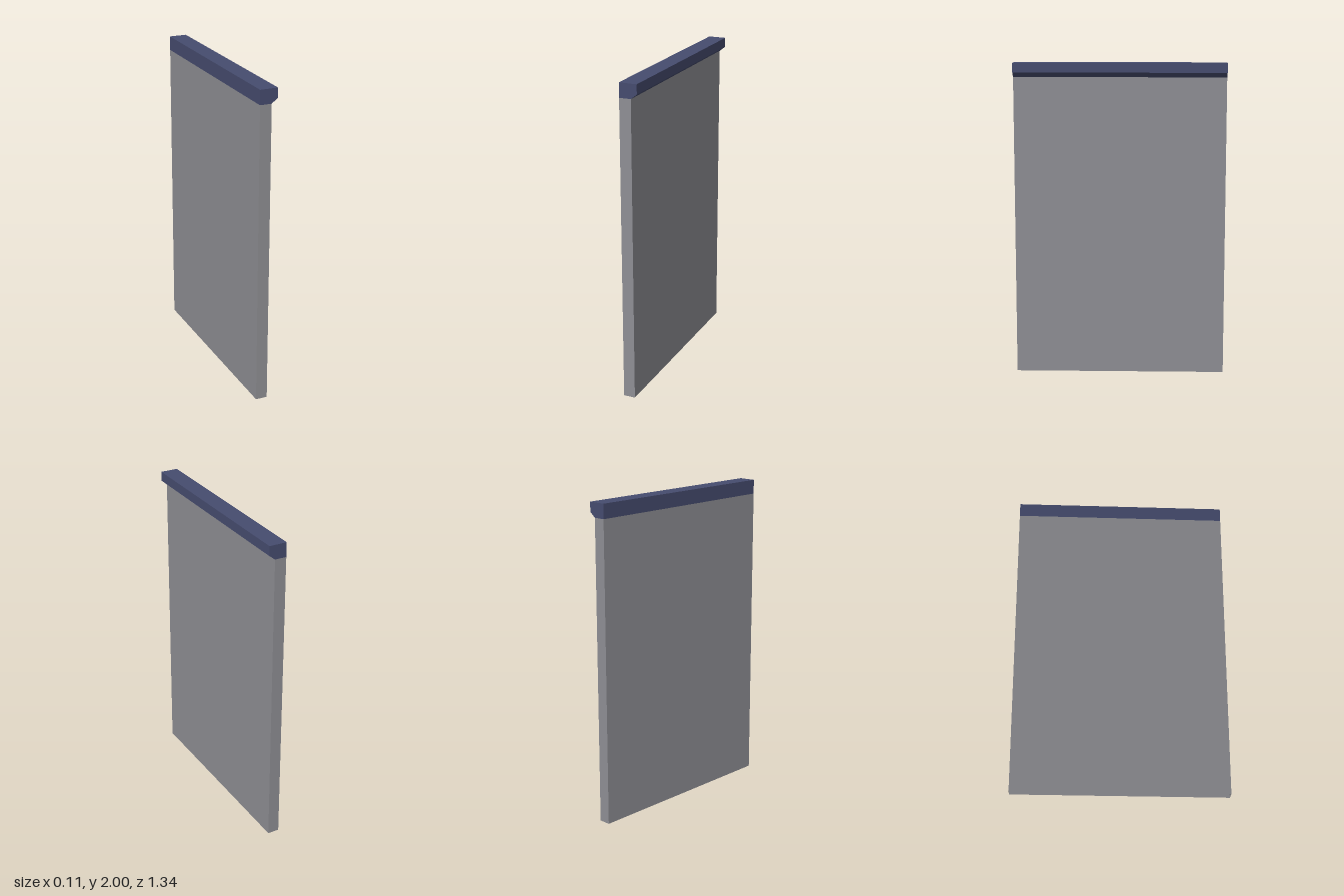
import * as THREE from 'three';

const HALF_X = 0.056, HALF_Z = 0.67;
const PANEL_RIGHT = 0.018, PANEL_TOP = 1.91;

export function createModel() {
  const group = new THREE.Group();
  const grey = new THREE.MeshStandardMaterial({ color: 0x8f8f94, side: THREE.DoubleSide });
  grey.name = 'panel grey';
  const blue = new THREE.MeshStandardMaterial({ color: 0x464c6f });
  blue.name = 'cap navy';

  // Hollow wall panel: four thin sides, open at the bottom
  const panel = new THREE.Group();
  panel.name = 'wallPanel';
  const width = PANEL_RIGHT + HALF_X, midX = (PANEL_RIGHT - HALF_X) / 2;
  const addSide = (name, w, x, z, turn) => {
    const side = new THREE.Mesh(new THREE.PlaneGeometry(w, PANEL_TOP), grey);
    side.name = name;
    side.position.set(x, PANEL_TOP / 2, z);
    side.rotation.y = turn;
    panel.add(side);
  };
  addSide('frontEnd', width, midX, HALF_Z, 0);
  addSide('backEnd', width, midX, -HALF_Z, Math.PI);
  addSide('leftFace', HALF_Z * 2, PANEL_RIGHT, 0, Math.PI / 2);
  addSide('rightFace', HALF_Z * 2, -HALF_X, 0, -Math.PI / 2);
  group.add(panel);

  // Overhanging top cap with a sloped underside
  const profile = new THREE.Shape([
    [-HALF_X, PANEL_TOP], [PANEL_RIGHT, PANEL_TOP], [HALF_X, 1.94], [HALF_X, 2], [-HALF_X, 2],
  ].map(([x, y]) => new THREE.Vector2(x, y)));
  const capGeometry = new THREE.ExtrudeGeometry(profile, { depth: HALF_Z * 2, bevelEnabled: false });
  capGeometry.translate(0, 0, -HALF_Z);
  const cap = new THREE.Mesh(capGeometry, blue);
  cap.name = 'topCap';
  group.add(cap);

  return group;
}
